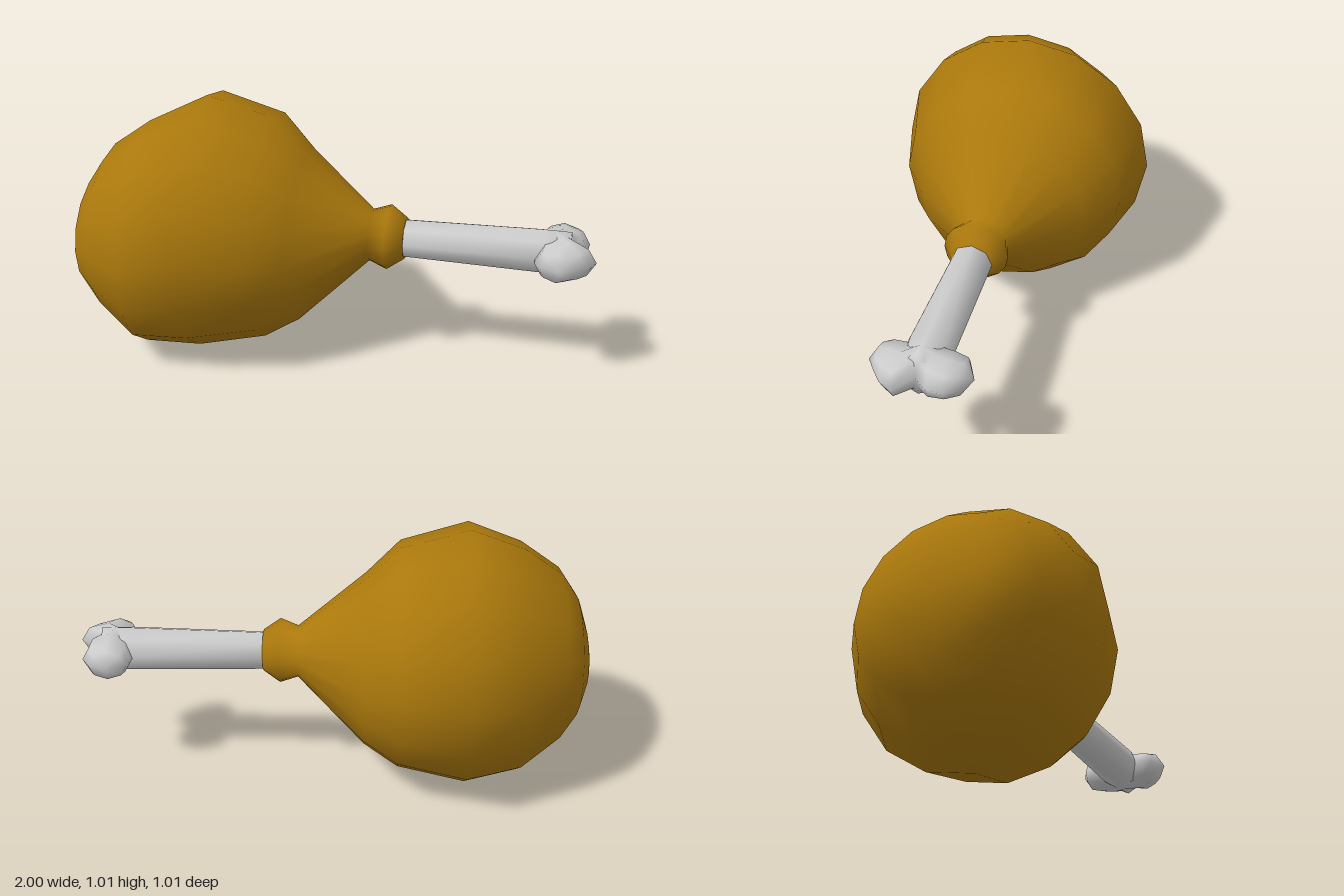
import * as THREE from 'three';
import { mergeVertices } from 'three/addons/utils/BufferGeometryUtils.js';

// Smooth skin over oval sections along x; each section is [x, top, bottom, front, back]
function loft(sections, sides) {
  const pos = [], index = [];
  for (const [x, top, bottom, front, back] of sections) {
    for (let j = 0; j < sides; j++) {
      const a = (j / sides) * Math.PI * 2;
      pos.push(
        x,
        (top + bottom) / 2 + Math.cos(a) * (top - bottom) / 2,
        (front + back) / 2 + Math.sin(a) * (front - back) / 2
      );
    }
  }
  for (let i = 0; i < sections.length - 1; i++) {
    for (let j = 0; j < sides; j++) {
      const k = (j + 1) % sides;
      const a = i * sides + j, b = i * sides + k;
      index.push(a, b, a + sides, b, b + sides, a + sides);
    }
  }
  let geo = new THREE.BufferGeometry();
  geo.setAttribute('position', new THREE.Float32BufferAttribute(pos, 3));
  geo.setIndex(index);
  geo = mergeVertices(geo, 1e-4);
  geo.computeVertexNormals();
  return geo;
}

export function createModel() {
  const group = new THREE.Group();
  group.name = 'drumstick';
  const meatMat = new THREE.MeshStandardMaterial({ color: 0xaa780c });
  const boneMat = new THREE.MeshStandardMaterial({ color: 0xcccccc });

  const add = (name, geo, mat) => {
    const mesh = new THREE.Mesh(geo, mat);
    mesh.name = name;
    group.add(mesh);
  };

  // Plump meat, tapering to a raised collar around the bone
  add('meat', loft([
    [-1.00, 0.45, 0.45, 0.06, 0.06],
    [-0.975, 0.59, 0.34, 0.27, -0.09],
    [-0.94, 0.70, 0.23, 0.35, -0.19],
    [-0.87, 0.81, 0.14, 0.415, -0.29],
    [-0.72, 0.915, 0.018, 0.505, -0.395],
    [-0.51, 1.012, 0.003, 0.505, -0.51],
    [-0.25, 0.94, 0.06, 0.43, -0.45],
    [-0.12, 0.81, 0.14, 0.33, -0.34],
    [0.14, 0.60, 0.40, 0.10, -0.10],
    [0.21, 0.625, 0.375, 0.13, -0.12],
    [0.275, 0.58, 0.42, 0.085, -0.075],
    [0.275, 0.50, 0.50, 0, 0],
  ], 16), meatMat);

  // Bone shaft, slightly thicker towards the knuckles
  add('boneShaft', loft([
    [0.24, 0.575, 0.425, 0.08, -0.075],
    [0.79, 0.588, 0.414, 0.09, -0.085],
    [0.90, 0.588, 0.412, 0.07, -0.06],
    [0.91, 0.50, 0.50, 0, 0],
  ], 8), boneMat);

  // Two-lobed knuckle lying across the shaft, with a notch between the lobes:
  // lofted along x, then turned so that x becomes z
  const knuckle = loft([
    [-0.187, 0.50, 0.50, -0.87, -0.87],
    [-0.15, 0.558, 0.442, -0.79, -0.935],
    [-0.10, 0.570, 0.430, -0.775, -0.965],
    [-0.04, 0.582, 0.418, -0.775, -0.96],
    [0.01, 0.588, 0.412, -0.775, -0.915],
    [0.07, 0.575, 0.425, -0.775, -1.00],
    [0.12, 0.567, 0.433, -0.775, -0.965],
    [0.155, 0.556, 0.444, -0.80, -0.92],
    [0.189, 0.50, 0.50, -0.87, -0.87],
  ], 8);
  knuckle.rotateY(-Math.PI / 2);
  add('boneKnuckle', knuckle, boneMat);

  return group;
}
